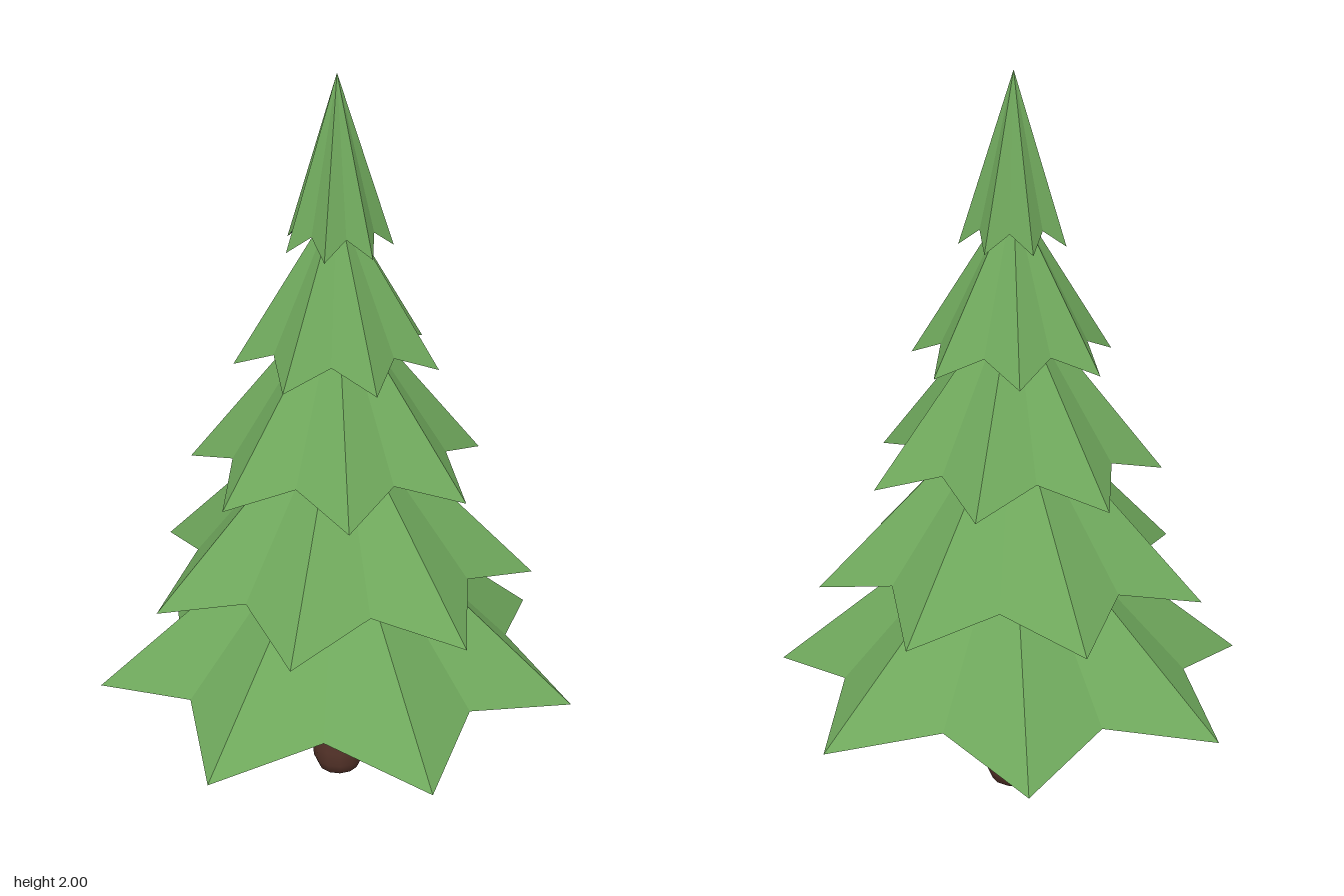
import * as THREE from 'three';

const POINTS = 7;
const STEP = (Math.PI * 2) / POINTS;

// Closed loop alternating between long low tips and short raised valleys
function ring(tipR, tipY, valleyR, valleyY, turn) {
  const loop = [];
  for (let i = 0; i < POINTS * 2; i++) {
    const a = turn + (i * STEP) / 2;
    const r = i % 2 ? valleyR : tipR;
    loop.push(new THREE.Vector3(r * Math.cos(a), i % 2 ? valleyY : tipY, r * Math.sin(a)));
  }
  return loop;
}

function geometryFrom(points) {
  const geo = new THREE.BufferGeometry().setFromPoints(points);
  geo.computeVertexNormals(); // unshared corners give flat facets
  return geo;
}

export function createModel() {
  const tree = new THREE.Group();
  tree.name = 'pineTree';

  const needles = new THREE.MeshStandardMaterial({ color: 0x6fa85c, side: THREE.DoubleSide });
  needles.name = 'needleGreen';
  const shade = new THREE.MeshStandardMaterial({ color: 0x0a2e33, side: THREE.DoubleSide });
  shade.name = 'undersideTeal';
  const bark = new THREE.MeshStandardMaterial({ color: 0x56342a });
  bark.name = 'barkBrown';

  // Tapered trunk with a rounded foot
  const profile = [
    [0, 0], [0.032, 0.01], [0.056, 0.026], [0.069, 0.056], [0.073, 0.1],
    [0.064, 0.38], [0.047, 0.85], [0.03, 1.35], [0, 1.36],
  ].map(([r, y]) => new THREE.Vector2(r, y));
  const trunk = new THREE.Mesh(new THREE.LatheGeometry(profile, 12), bark);
  trunk.name = 'trunk';
  tree.add(trunk);

  // Branch tiers: tip radius, tip height, valley height, apex height
  const tiers = [
    [0.648, 0.34, 0.4, 0.9],
    [0.519, 0.638, 0.705, 1.17],
    [0.392, 0.955, 1.015, 1.45],
    [0.267, 1.26, 1.313, 1.69],
    [0.14, 1.565, 1.612, 2.0],
  ];
  tiers.forEach(([radius, tipY, valleyY, apexY], t) => {
    const tier = new THREE.Group();
    tier.name = `branchTier${t + 1}`;
    const turn = (-t * STEP) / 3; // each tier is twisted a third of a point
    const edge = ring(radius, tipY, radius * 0.72, valleyY, turn);
    const holeY = tipY + 0.1;
    const hole = ring(radius * 0.44, holeY, radius * 0.44, holeY, turn);
    const apex = new THREE.Vector3(0, apexY, 0);

    const top = [];
    const under = [];
    edge.forEach((p, i) => {
      const j = (i + 1) % edge.length;
      top.push(apex, edge[j], p);
      under.push(p, edge[j], hole[j], p, hole[j], hole[i]);
    });

    const shell = new THREE.Mesh(geometryFrom(top), needles);
    shell.name = 'branches';
    const underside = new THREE.Mesh(geometryFrom(under), shade);
    underside.name = 'underside';
    tier.add(shell, underside);
    tree.add(tier);
  });

  tree.position.x = -0.035;
  const model = new THREE.Group();
  model.name = 'tree';
  model.add(tree);
  return model;
}
